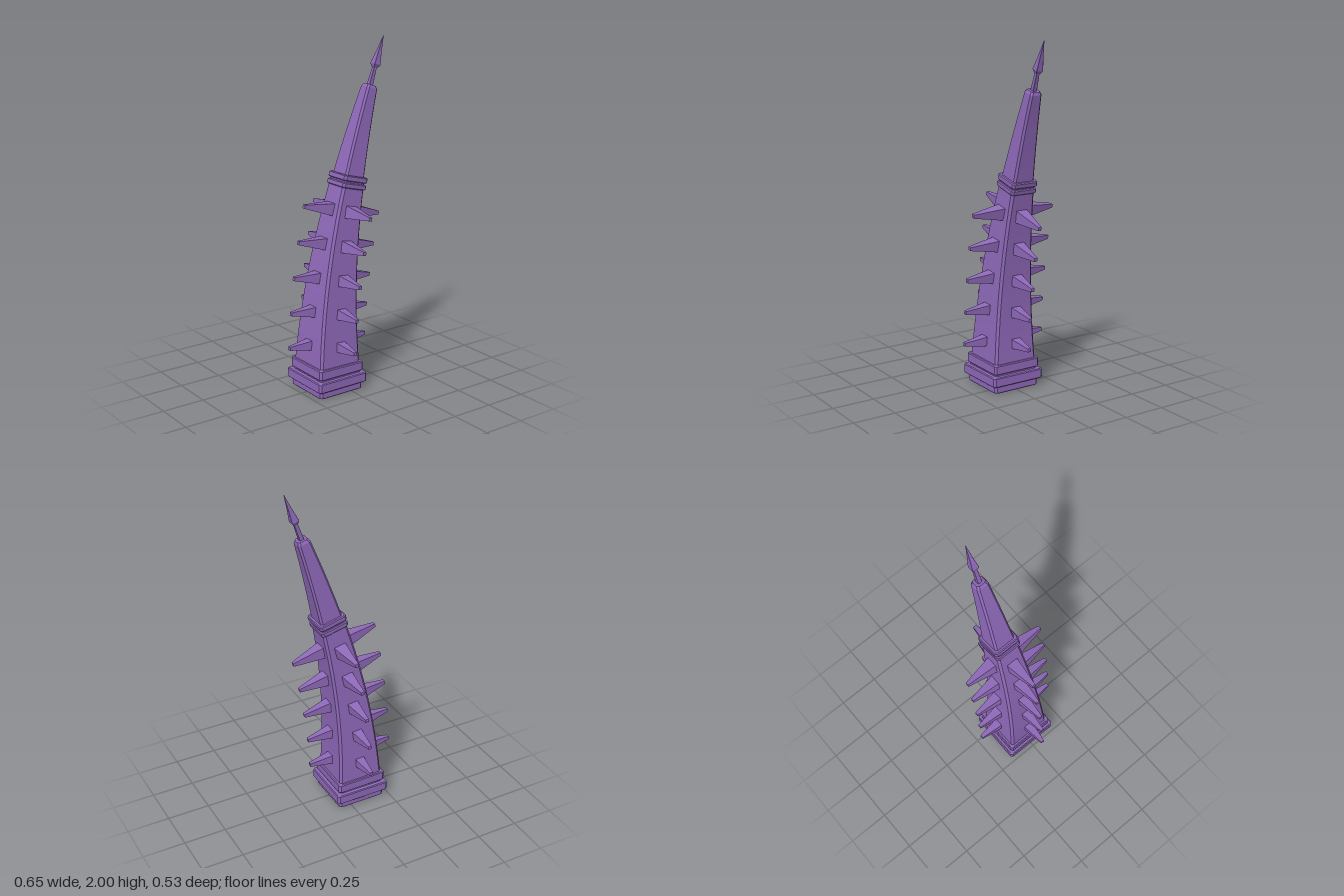
import * as THREE from 'three';

const material = new THREE.MeshStandardMaterial({ color: 0x8e68b8, flatShading: true });

// Bending centre line of the tower: x offset and slope at height y
function axis(y) {
  if (y < 0.1) return { x: -0.07, slope: 0 };
  if (y < 1.15) return { x: -0.07 + 0.118 * (y - 0.1) ** 2, slope: 0.236 * (y - 0.1) };
  const t = y - 1.15;
  return { x: 0.06 + 0.25 * t + 0.07 * t * t, slope: 0.25 + 0.14 * t };
}

// Lofts a chamfered square along the centre line; levels are [height, half width]
function loft(name, levels, chamfer) {
  const pos = [];
  const index = [];
  for (const [y, h] of levels) {
    const { x, slope } = axis(y);
    const n = Math.hypot(1, slope);
    const k = h - Math.min(chamfer, h * 0.4);
    const ring = [[h, -k], [h, k], [k, h], [-k, h], [-h, k], [-h, -k], [-k, -h], [k, -h]];
    for (const [u, w] of ring) pos.push(x + u / n, y - (u * slope) / n, w);
  }
  const last = (levels.length - 1) * 8;
  for (let j = 0; j < 8; j++) {
    const k = (j + 1) % 8;
    for (let r = 0; r < last; r += 8) {
      index.push(r + j, r + 8 + j, r + k, r + k, r + 8 + j, r + 8 + k);
    }
    // end caps
    if (j > 0 && j < 7) index.push(0, j, k, last, last + k, last + j);
  }
  const indexed = new THREE.BufferGeometry();
  indexed.setAttribute('position', new THREE.Float32BufferAttribute(pos, 3));
  indexed.setIndex(index);
  const geometry = indexed.toNonIndexed();
  geometry.computeVertexNormals();
  const mesh = new THREE.Mesh(geometry, material);
  mesh.name = name;
  return mesh;
}

// Straight-sided section sampled finely enough to follow the bend
function taper(y0, h0, y1, h1, steps) {
  return Array.from({ length: steps + 1 }, (_, i) => {
    const t = i / steps;
    return [y0 + (y1 - y0) * t, h0 + (h1 - h0) * t];
  });
}

// Collar with slightly bevelled top and bottom edges
function collar(name, y0, y1, h) {
  const b = 0.005;
  return loft(name, [[y0, h - b], [y0 + b, h], [y1 - b, h], [y1, h - b]], 0.012);
}

export function createModel() {
  const model = new THREE.Group();
  model.name = 'spikedTower';

  // Stepped base
  model.add(
    collar('foot', 0, 0.05, 0.146),
    collar('baseBand', 0.045, 0.102, 0.166),
    loft('baseGroove', [[0.1, 0.14], [0.12, 0.14]], 0.012),
    collar('upperBaseBand', 0.113, 0.17, 0.151),
  );

  // Curved shaft and neck collars
  model.add(
    loft('shaft', taper(0.165, 0.136, 1.17, 0.075, 12), 0.013),
    collar('lowerNeckCollar', 1.167, 1.197, 0.083),
    loft('neckGroove', [[1.19, 0.072], [1.21, 0.072]], 0.01),
    collar('upperNeckCollar', 1.205, 1.237, 0.083),
  );

  // Spire
  model.add(loft('spire', [...taper(1.23, 0.067, 1.712, 0.037, 6), [1.727, 0.029]], 0.011));

  // Finial rod and spearhead
  model.add(
    loft('finialRod', [[1.72, 0.013], [1.84, 0.009]], 0.001),
    loft('finialPoint', [[1.82, 0.012], [1.838, 0.021], [1.9, 0.012], [1.995, 0.0008]], 0.001),
  );

  // Five tiers of four spikes, tilted with the shaft
  for (let i = 0; i < 5; i++) {
    const y = 0.28 + i * 0.19;
    const { x, slope } = axis(y);
    const tier = new THREE.Group();
    tier.name = `spikeTier${i + 1}`;
    tier.position.set(x, y, 0);
    tier.rotation.z = -Math.atan(slope);
    const start = 0.115 - i * 0.0115;
    const length = 0.264 - start;
    const geometry = new THREE.CylinderGeometry(
      0.01 * Math.SQRT2, (0.029 + i * 0.002) * Math.SQRT2, length, 4, 1);
    geometry.rotateY(Math.PI / 4).translate(0, start + length / 2, 0).rotateZ(-Math.PI / 2);
    for (let k = 0; k < 4; k++) {
      const spike = new THREE.Mesh(geometry, material);
      spike.name = 'spike';
      spike.rotation.y = (k * Math.PI) / 2;
      tier.add(spike);
    }
    model.add(tier);
  }
  return model;
}
